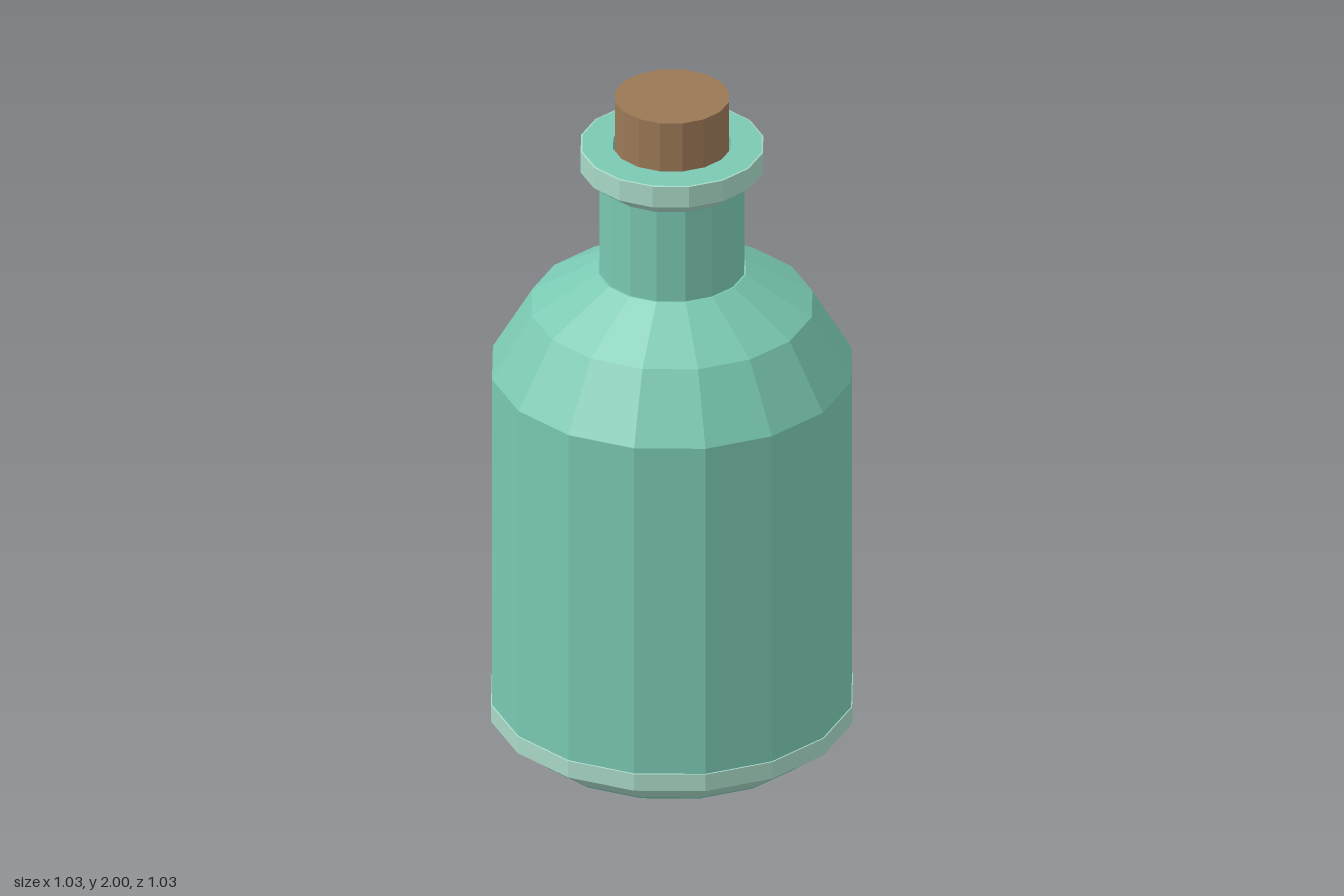
import * as THREE from 'three';

const SIDES = 16;

// Faceted solid of revolution from [radius, height] pairs, listed bottom to top
function turned(name, profile, material) {
  const points = profile.map(([r, y]) => new THREE.Vector2(r, y));
  const geometry = new THREE.LatheGeometry(points, SIDES).toNonIndexed();
  geometry.computeVertexNormals();
  const mesh = new THREE.Mesh(geometry, material);
  mesh.name = name;
  return mesh;
}

export function createModel() {
  const glass = new THREE.MeshStandardMaterial({ color: 0x7ac8b3 });
  glass.name = 'green glass';
  const paleGlass = new THREE.MeshStandardMaterial({ color: 0xa8d8c6 });
  paleGlass.name = 'pale glass edge';
  const corkBrown = new THREE.MeshStandardMaterial({ color: 0x9b7856 });
  corkBrown.name = 'cork brown';

  const bottle = new THREE.Group();
  bottle.name = 'corkedBottle';

  // Underside disc and its narrow edge
  bottle.add(turned('bottleBottom', [[0, 0], [0.415, 0], [0.423, 0.008]], glass));

  // Pale bevelled band round the foot
  bottle.add(turned('footBand', [[0.423, 0.008], [0.513, 0.075], [0.513, 0.127], [0.51, 0.128]], paleGlass));

  // Straight body, two-step shoulder and neck
  bottle.add(turned('bodyAndNeck', [
    [0.51, 0.128], [0.51, 1.155], [0.398, 1.347], [0.21, 1.46], [0.205, 1.46], [0.205, 1.742],
  ], glass));

  // Pale flared lip
  bottle.add(turned('lipBand', [[0.205, 1.742], [0.259, 1.785], [0.259, 1.85], [0.254, 1.851]], paleGlass));

  // Flat top of the lip and the inside of the mouth
  bottle.add(turned('mouthRim', [[0.254, 1.851], [0.167, 1.851], [0.167, 1.72], [0, 1.72]], glass));

  // Cork stopper seated in the mouth
  bottle.add(turned('cork', [[0, 1.725], [0.162, 1.725], [0.162, 2], [0, 2]], corkBrown));

  return bottle;
}
